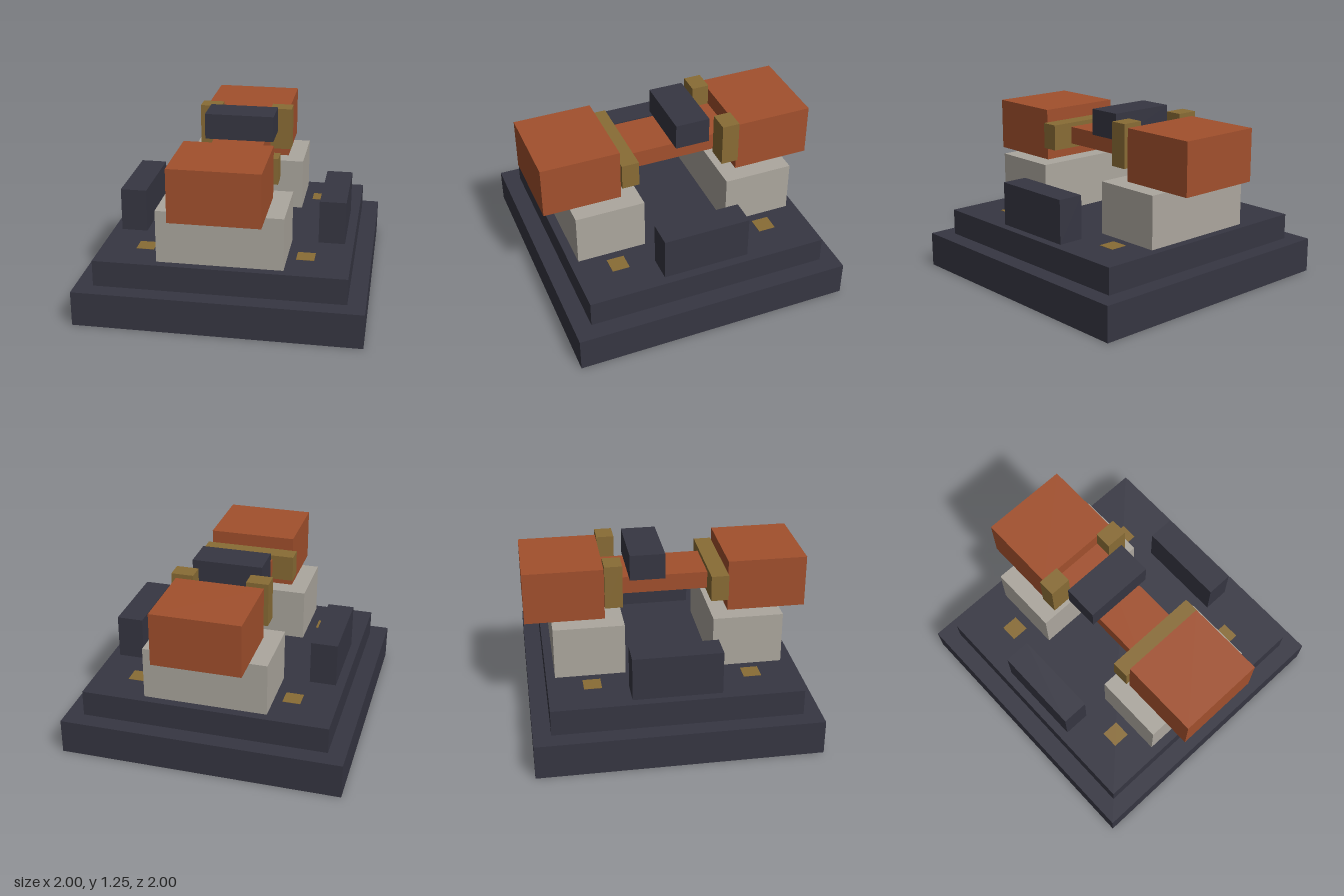
import * as THREE from 'three';

const material = (name, color) => {
  const m = new THREE.MeshStandardMaterial({ color });
  m.name = name;
  return m;
};

export function createModel() {
  const model = new THREE.Group();
  model.name = 'anvilMachine';
  const iron = material('dark iron', 0x363642);
  const stone = material('pale stone', 0xaca79e);
  const rust = material('rust red', 0xa2502d);
  const brass = material('brass', 0x896c35);

  // Box given by its extents on each axis
  const box = (name, mat, [x0, x1], [y0, y1], [z0, z1]) => {
    const mesh = new THREE.Mesh(new THREE.BoxGeometry(x1 - x0, y1 - y0, z1 - z0), mat);
    mesh.position.set((x0 + x1) / 2, (y0 + y1) / 2, (z0 + z1) / 2);
    mesh.name = name;
    model.add(mesh);
  };
  // The same extent on either side of zero
  const side = (s, a, b) => (s > 0 ? [a, b] : [-b, -a]);

  // Stepped base
  box('basePlate', iron, [-1, 1], [0, 0.25], [-1, 1]);
  box('baseStep', iron, [-0.875, 0.875], [0.25, 0.4375], [-0.875, 0.875]);

  for (const s of [1, -1]) {
    const end = s > 0 ? 'front' : 'back';
    const hand = s > 0 ? 'left' : 'right';
    // Pedestal and the block resting on it
    box(end + 'Pedestal', stone, [-0.4375, 0.4375], [0.4375, 0.8125], side(s, 0.3125, 0.8125));
    box(end + 'Block', rust, [-0.3125, 0.3125], [0.8125, 1.1875], side(s, 0.4375, 1));
    // Side rails
    box(hand + 'Rail', iron, side(s, 0.625, 0.8125), [0.4375, 0.75], [-0.3125, 0.3125]);
    // Tall clamps beside the bar at the back
    box(hand + 'BackClamp', brass, side(s, 0.1875, 0.34375), [0.90625, 1.21875], [-0.4375, -0.3125]);
    // Flush corner studs
    for (const t of [1, -1]) {
      box('cornerStud', brass, side(s, 0.5, 0.625), [0.43, 0.4395], side(t, 0.5, 0.625));
    }
  }

  // Connecting bar, front collar and sliding carriage
  box('bar', rust, [-0.1875, 0.1875], [0.9375, 1.0625], [-0.4375, 0.4375]);
  box('frontCollar', brass, [-0.34375, 0.34375], [0.90625, 1.09375], [0.3125, 0.4375]);
  box('carriage', iron, [-0.25, 0.25], [1.0625, 1.25], [-0.25, 0]);

  return model;
}
